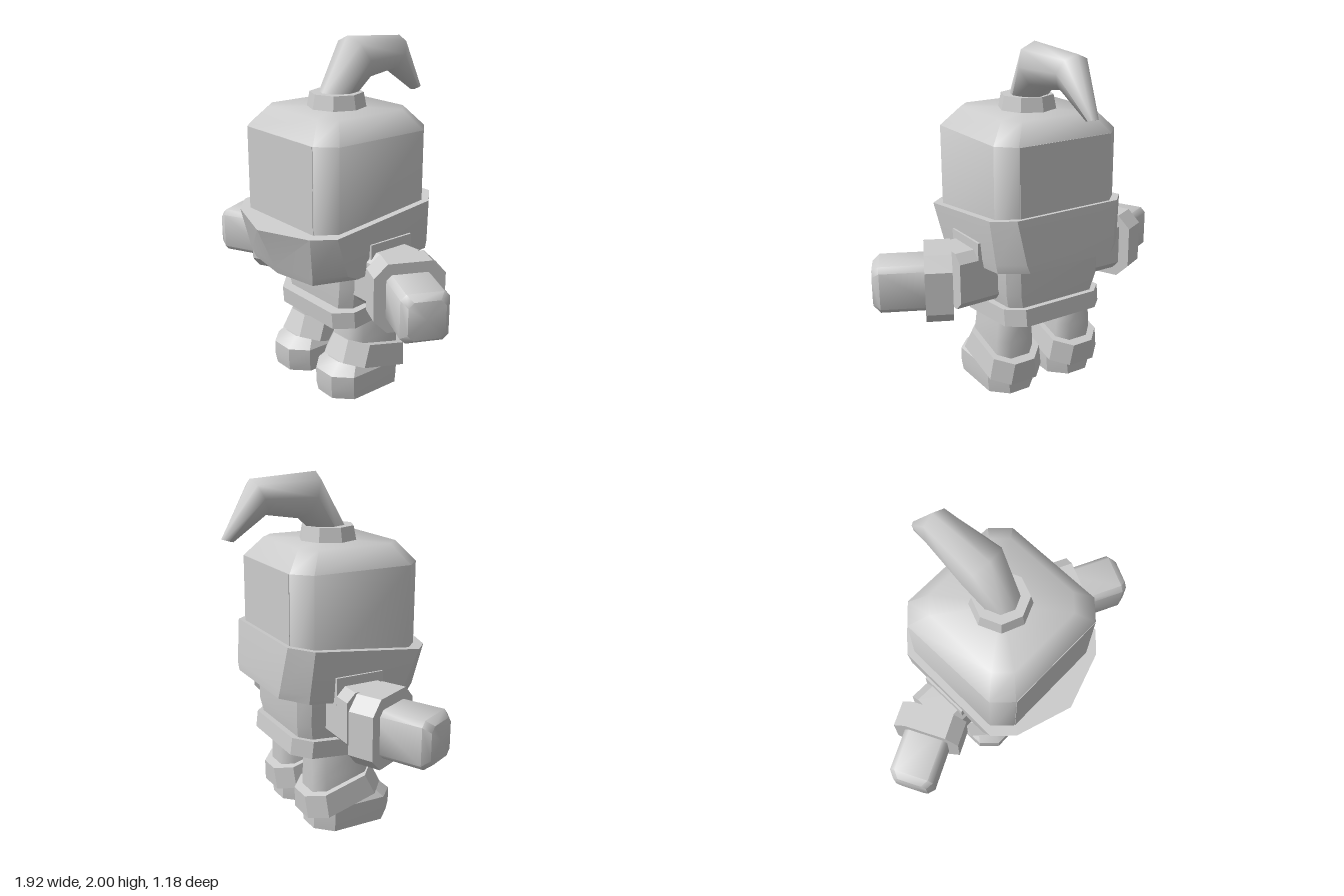
import * as THREE from 'three';
import { toCreasedNormals } from 'three/addons/utils/BufferGeometryUtils.js';

const grey = new THREE.MeshStandardMaterial({ color: 0xcccccc });
grey.name = 'light grey';

// Rectangle with cut corners in the xz plane at height y
function octRing(y, hx, hz, cut, cz = 0) {
  const q = [[hx - cut, hz], [hx, hz - cut], [hx, cut - hz], [hx - cut, -hz],
    [cut - hx, -hz], [-hx, cut - hz], [-hx, hz - cut], [cut - hx, hz]];
  return q.map(([x, z]) => [x, y, z + cz]);
}

// Skin over rings of equal length, with both ends closed
function loft(rings, creaseDeg) {
  const pos = [];
  const tri = (...p) => p.forEach((v) => pos.push(...v));
  const n = rings[0].length;
  const centre = (r) => [0, 1, 2].map((k) => r.reduce((s, p) => s + p[k], 0) / n);
  const first = rings[0], last = rings[rings.length - 1];
  const c0 = centre(first), c1 = centre(last);
  for (let i = 0; i < n; i++) {
    const j = (i + 1) % n;
    for (let k = 0; k + 1 < rings.length; k++) {
      const a = rings[k], b = rings[k + 1];
      tri(a[i], a[j], b[j]);
      tri(a[i], b[j], b[i]);
    }
    tri(c0, first[j], first[i]);
    tri(c1, last[i], last[j]);
  }
  const g = new THREE.BufferGeometry();
  g.setAttribute('position', new THREE.Float32BufferAttribute(pos, 3));
  g.computeVertexNormals();
  return toCreasedNormals(g, THREE.MathUtils.degToRad(creaseDeg));
}

function add(parent, name, geometry, x = 0, y = 0, z = 0) {
  const mesh = new THREE.Mesh(geometry, grey);
  mesh.name = name;
  mesh.position.set(x, y, z);
  parent.add(mesh);
  return mesh;
}

// Nine-sided collar outline, pointed at the front, on a tilted plane
function collarRing(y0, hx, cx, zFront, zCorner, zSide, zSideBack, zBack) {
  const right = [[cx, zCorner], [hx, zSide], [hx, zSideBack], [cx, zBack]];
  const left = right.map(([x, z]) => [-x, z]).reverse();
  return [[0, zFront], ...right, ...left].map(([x, z]) => [x, y0 - 0.115 * z, z]);
}

function makeHead(group) {
  add(group, 'helmet', loft([
    octRing(0.9, 0.395, 0.39, 0.095, 0.05),
    octRing(1.515, 0.395, 0.39, 0.095, 0.05),
    octRing(1.625, 0.3, 0.3, 0.08, 0.05),
  ], 52));
  add(group, 'facePlate', new THREE.BoxGeometry(0.59, 0.515, 0.006), 0, 1.257, 0.44);
  add(group, 'backPlate', new THREE.BoxGeometry(0.59, 0.515, 0.006), 0, 1.257, -0.34);
  add(group, 'collar', loft([
    collarRing(0.79, 0.4, 0.27, 0.47, 0.43, 0.22, -0.28, -0.4),
    collarRing(0.84, 0.41, 0.29, 0.49, 0.445, 0.3, -0.28, -0.4),
    collarRing(1.09, 0.435, 0.33, 0.595, 0.49, 0.39, -0.26, -0.37),
  ], 28));
  add(group, 'plumeBase',
    toCreasedNormals(new THREE.CylinderGeometry(0.15, 0.168, 0.09, 8), 0.5), 0, 1.66, 0.045);

  // Swept plume: upper edge (z, y), lower edge (z, y), half width
  const sections = [
    [0.17, 1.66, -0.04, 1.66, 0.095],
    [-0.03, 2.0, -0.14, 1.75, 0.138],
    [-0.42, 1.975, -0.33, 1.78, 0.1],
    [-0.59, 1.67, -0.52, 1.65, 0.03],
  ];
  add(group, 'plume', loft(sections.map(([za, ya, zb, yb, w]) =>
    Array.from({ length: 8 }, (_, i) => {
      const t = (i / 8) * Math.PI * 2, c = (1 + Math.cos(t)) / 2;
      return [w * Math.sin(t), yb + (ya - yb) * c, zb + (za - zb) * c];
    })), 80));
}

function makeBody(group) {
  add(group, 'torso', loft([
    octRing(0.48, 0.27, 0.23, 0.06, -0.02),
    octRing(0.65, 0.31, 0.255, 0.06, -0.025),
    octRing(0.95, 0.315, 0.255, 0.06, -0.025),
  ], 30));
  const belt = add(group, 'belt', loft([
    octRing(-0.05, 0.325, 0.292, 0.09),
    octRing(0.05, 0.325, 0.29, 0.09),
  ], 30), 0, 0.495, -0.02);
  belt.rotation.x = 0.1;
}

function makeArm(group, side) {
  // Shoulder block just breaking through the collar
  add(group, 'shoulder', new THREE.BoxGeometry(0.135, 0.15, 0.29), side * 0.367, 0.88, 0.012);
  const upper = loft([
    octRing(0, 0.165, 0.15, 0.05, 0.02),
    octRing(0.28, 0.165, 0.155, 0.05, 0.02),
  ], 30).rotateZ(-side * Math.PI / 2);
  add(group, 'upperArm', upper, side * 0.27, 0.74, 0);

  // Forearm angled towards the front
  const arm = new THREE.Group();
  arm.name = 'forearm';
  arm.position.set(side * 0.59, 0.713, 0.05);
  arm.rotation.y = -side * 0.45;
  const cuff = loft([
    octRing(-0.075, 0.197, 0.197, 0.075),
    octRing(0.075, 0.197, 0.197, 0.075),
  ], 30).rotateZ(-side * Math.PI / 2);
  const hand = loft([
    octRing(0, 0.135, 0.13, 0.03),
    octRing(0.32, 0.135, 0.13, 0.03),
    octRing(0.36, 0.105, 0.1, 0.03),
  ], 50).rotateZ(-side * Math.PI / 2);
  add(arm, 'wristCuff', cuff);
  add(arm, 'hand', hand);
  group.add(arm);
}

function makeLeg(group, side) {
  const x = side * 0.207;
  add(group, 'leg', loft([
    octRing(0.1, 0.125, 0.185, 0.06, -0.01),
    octRing(0.33, 0.12, 0.185, 0.06, -0.01),
    octRing(0.48, 0.105, 0.18, 0.06, -0.015),
  ], 50), x);
  const cuff = add(group, 'bootCuff', loft([
    octRing(-0.065, 0.175, 0.245, 0.09),
    octRing(0.065, 0.155, 0.222, 0.09),
  ], 30), x, 0.212, -0.015);
  cuff.rotation.x = -0.262;
  add(group, 'foot', loft([
    octRing(0, 0.155, 0.245, 0.09, 0.055),
    octRing(0.06, 0.162, 0.25, 0.09, 0.06),
    octRing(0.145, 0.162, 0.25, 0.09, 0.06),
    octRing(0.205, 0.12, 0.185, 0.07, 0.055),
  ], 30), x);
}

export function createModel() {
  const model = new THREE.Group();
  model.name = 'armouredFigure';
  makeHead(model);
  makeBody(model);
  for (const side of [1, -1]) {
    makeArm(model, side);
    makeLeg(model, side);
  }
  return model;
}
